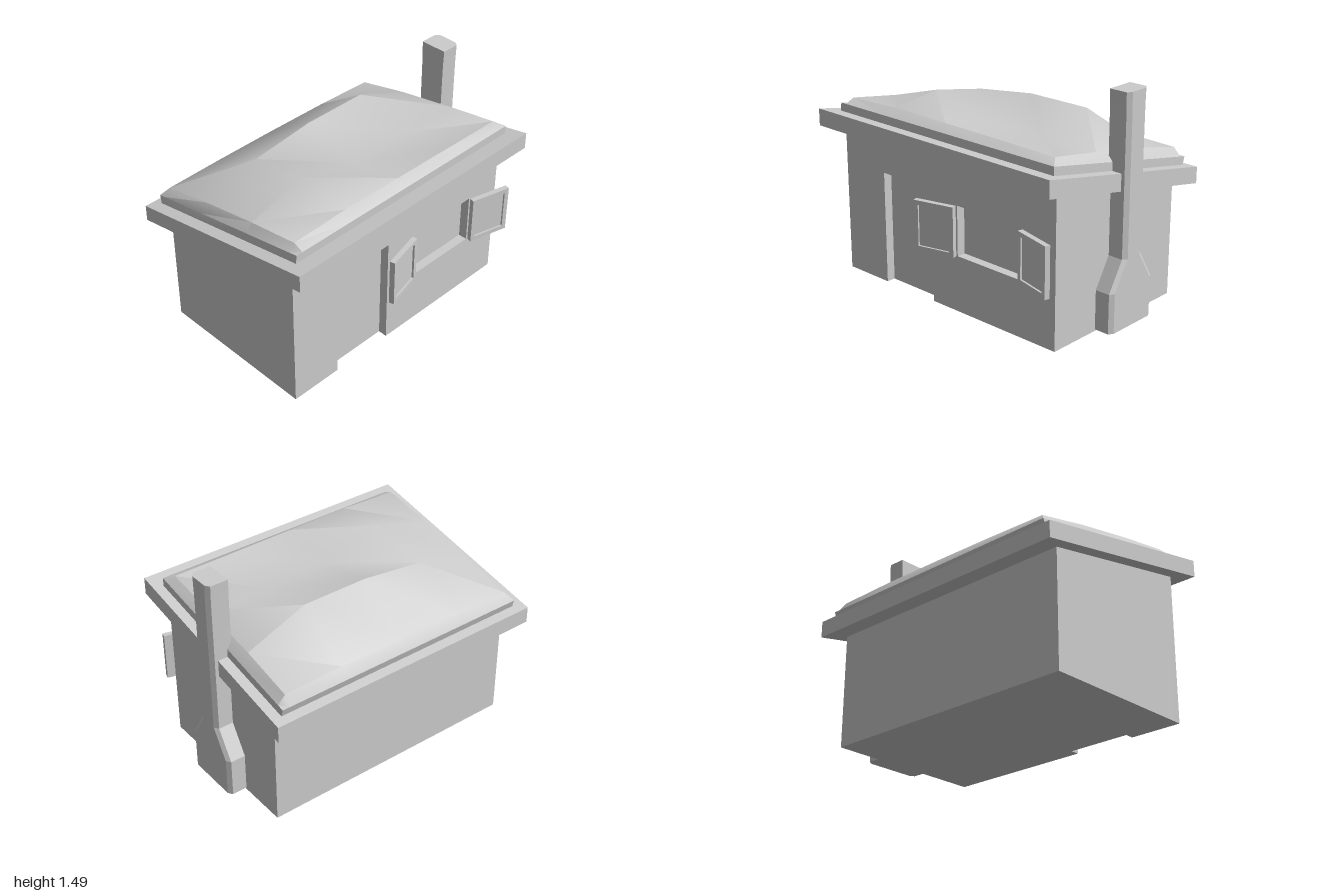
import * as THREE from 'three';
import { toCreasedNormals } from 'three/addons/utils/BufferGeometryUtils.js';

const material = new THREE.MeshStandardMaterial({ color: 0xcccccc });

function add(parent, name, geometry) {
  const mesh = new THREE.Mesh(geometry, material);
  mesh.name = name;
  parent.add(mesh);
  return mesh;
}

const vectors = (points) => points.map(([x, y]) => new THREE.Vector2(x, y));
const rect = (x0, y0, x1, y1) => vectors([[x0, y0], [x1, y0], [x1, y1], [x0, y1]]);

// Extrudes an outline (with optional holes) along z
function extrude(outline, depth, holes = []) {
  const shape = new THREE.Shape(outline);
  holes.forEach((h) => shape.holes.push(new THREE.Path(h)));
  return new THREE.ExtrudeGeometry(shape, { depth, bevelEnabled: false });
}

function meshGeometry(positions, index) {
  const g = new THREE.BufferGeometry();
  g.setAttribute('position', new THREE.Float32BufferAttribute(positions, 3));
  g.setIndex(index);
  return g;
}

// Upper surface of the sloping roof slab
const slabTop = (x) => 0.84 + (x + 0.7) * 0.2036;

// Rounded, lumpy covering on the slab: two rim rings around a coarse height grid
function coveringGeometry() {
  const xs = [-0.64, -0.655, -0.61, -0.25, 0.16, 0.52, 0.585, 0.585];
  const zs = [0.92, 0.915, 0.87, 0.47, 0.03, -0.43, -0.84, -0.89, -0.89];
  const heights = [
    [0.96, 1.045, 1.125, 1.185],
    [0.97, 1.16, 1.24, 1.2],
    [0.975, 1.215, 1.12, 1.195],
    [0.975, 1.215, 1.12, 1.19],
    [0.965, 1.05, 1.125, 1.185],
  ];
  const nx = xs.length, nz = zs.length;
  const positions = [], index = [];
  for (let j = 0; j < nz; j++) {
    for (let i = 0; i < nx; i++) {
      const ring = Math.min(i, j, nx - 1 - i, nz - 1 - j, 2);
      const x = THREE.MathUtils.clamp(xs[i], xs[ring], xs[nx - 1 - ring]);
      const z = THREE.MathUtils.clamp(zs[j], zs[nz - 1 - ring], zs[ring]);
      const y = ring === 2 ? heights[j - 2][i - 2] : slabTop(x) + [0, 0.055][ring];
      positions.push(x, y, z);
      if (i < nx - 1 && j < nz - 1) {
        const a = j * nx + i, d = a + nx;
        index.push(a, a + 1, d + 1, a, d + 1, d);
      }
    }
  }
  return toCreasedNormals(meshGeometry(positions, index), 0.6);
}

// Chimney: chamfered section swept up through levels of [y, half width]
function chimneyGeometry() {
  const levels = [[0.01, 0.2], [0.27, 0.2], [0.46, 0.086], [1.38, 0.088], [1.49, 0.092]];
  const positions = [], index = [], n = 6;
  levels.forEach(([y, w], k) => {
    const section = [[w, -0.86], [w, -0.98], [w - 0.03, -1], [0.03 - w, -1], [-w, -0.98], [-w, -0.86]];
    section.forEach(([x, z]) => positions.push(x - 0.02, y, z));
    if (k === levels.length - 1) return;
    for (let i = 0; i < n; i++) {
      const a = k * n + i, b = k * n + ((i + 1) % n);
      index.push(a, b, b + n, a, b + n, a + n);
    }
  });
  const top = (levels.length - 1) * n;
  for (let i = 1; i < n - 1; i++) {
    index.push(0, i + 1, i, top, top + i, top + i + 1);
  }
  return toCreasedNormals(meshGeometry(positions, index), 0.1);
}

// Shutter leaf: hinge at the origin, running along +z, framed face towards +x
function makeShutter(name) {
  const leaf = new THREE.Group();
  leaf.name = name;
  const length = 0.28, height = 0.33, rim = 0.03;
  const panel = new THREE.BoxGeometry(0.022, height, length);
  panel.translate(-0.024, height / 2, length / 2);
  add(leaf, 'shutterPanel', panel);
  const frame = extrude(rect(0, 0, length, height), 0.013, [
    rect(rim, rim, length - rim, height - rim),
  ]);
  frame.rotateY(Math.PI / 2).translate(-0.013, 0, length);
  add(leaf, 'shutterFrame', frame);
  return leaf;
}

export function createModel() {
  const model = new THREE.Group();
  model.name = 'house';

  // Walls: solid core plus an outer skin that forms the door and window recesses
  const front = 0.92, back = -0.88, skin = 0.06, inner = 0.55 - skin;
  const core = extrude(
    vectors([[-0.55, 0], [inner, 0], [inner, 1.02], [-0.55, 0.82]]), front - back);
  add(model, 'walls', core.translate(0, 0, back));
  const wall = extrude(
    vectors([
      [-front, 0], [-0.565, 0], [-0.565, 0.755], [-0.13, 0.755], [-0.13, 0],
      [-back, 0], [-back, 1.02], [-front, 1.02],
    ]),
    skin, [rect(0.09, 0.373, 0.62, 0.705)]);
  add(model, 'doorAndWindowWall', wall.rotateY(Math.PI / 2).translate(inner, 0, 0));

  // Open shutters either side of the window
  for (const [name, z, side] of [['frontShutter', -0.09, 1], ['backShutter', -0.62, -1]]) {
    const shutter = makeShutter(name);
    shutter.position.set(0.588, 0.373, z);
    shutter.rotation.y = side * 0.245;
    if (side < 0) {
      // the leaf is symmetric along its length, so shift it to run towards -z
      shutter.position.x += Math.sin(0.245) * 0.28;
      shutter.position.z -= Math.cos(0.245) * 0.28;
    }
    model.add(shutter);
  }

  // Sloping roof
  const slab = extrude(
    vectors([[-0.7, 0.73], [0.7, 1.012], [0.7, 1.125], [-0.7, 0.84]]), 1.957);
  add(model, 'roofSlab', slab.translate(0, 0, -0.957));
  add(model, 'roofCovering', coveringGeometry());

  add(model, 'chimney', chimneyGeometry());
  return model;
}
